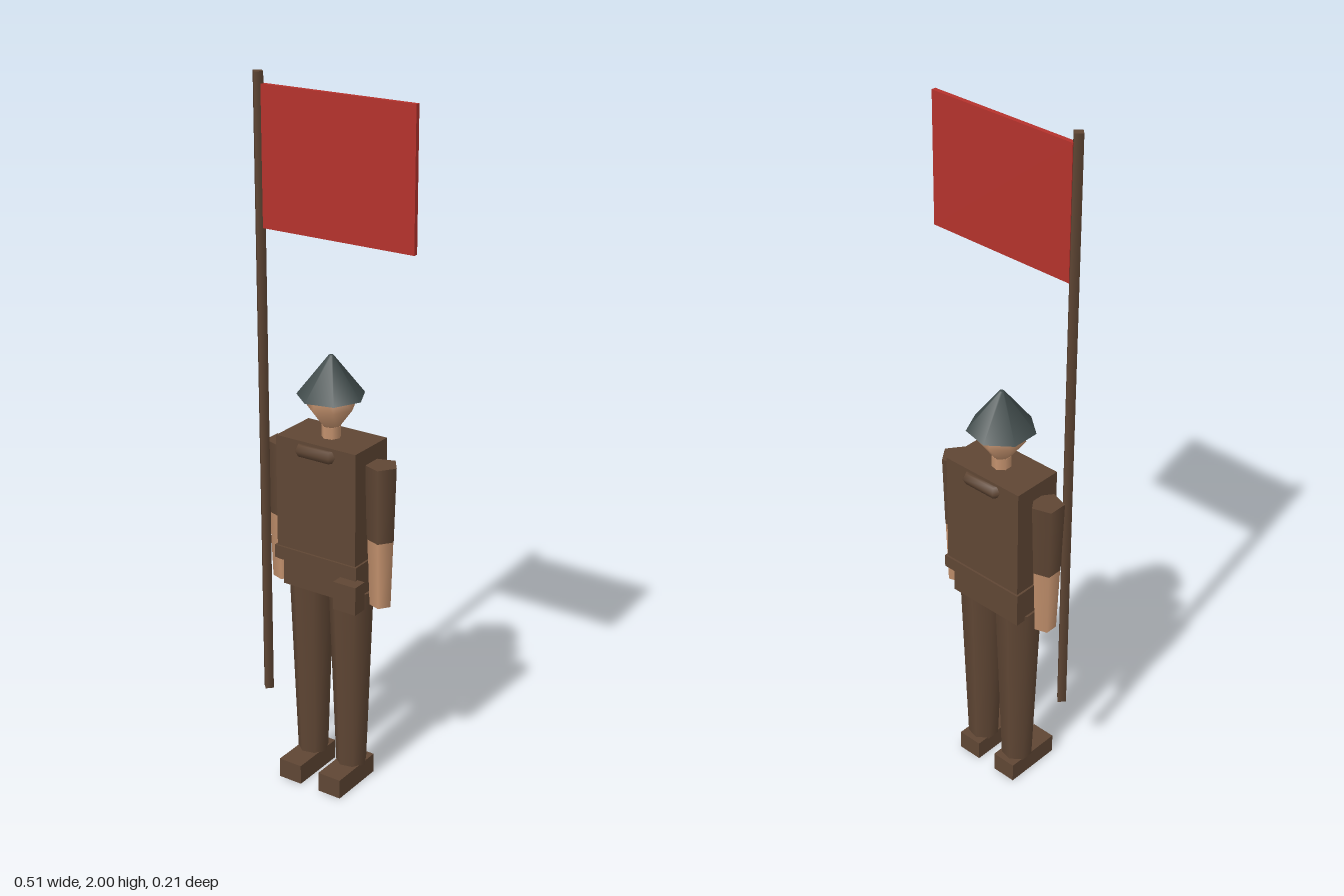
import * as THREE from 'three';

const material = (name, color) => {
  const m = new THREE.MeshStandardMaterial({ color });
  m.name = name;
  return m;
};

export function createModel() {
  const cloth = material('brown cloth', 0x5f4634);
  const skin = material('skin', 0xc3916d);
  const hatGrey = material('slate grey', 0x3f4a4a);
  const red = material('flag red', 0xb4322c);

  const model = new THREE.Group();
  model.name = 'flagBearer';

  // The figure stands left of centre so the flag balances it
  const figure = new THREE.Group();
  figure.name = 'figure';
  figure.position.set(-0.055, 0, -0.012);
  model.add(figure);

  const add = (parent, name, geometry, mat, x, y, z) => {
    const mesh = new THREE.Mesh(geometry, mat);
    mesh.name = name;
    mesh.position.set(x, y, z);
    parent.add(mesh);
    return mesh;
  };
  const box = (parent, name, mat, w, y0, y1, d, x = 0, z = 0) =>
    add(parent, name, new THREE.BoxGeometry(w, y1 - y0, d), mat, x, (y0 + y1) / 2, z);
  // Tapered prism with one corner pointing to +x
  const limb = (parent, name, mat, rTop, rBottom, y0, y1, sides, x = 0, z = 0) =>
    add(parent, name, new THREE.CylinderGeometry(rTop, rBottom, y1 - y0, sides, 1, false, Math.PI / 2),
      mat, x, (y0 + y1) / 2, z);

  // Trunk
  box(figure, 'torso', cloth, 0.256, 0.67, 1.035, 0.15);
  box(figure, 'belt', cloth, 0.268, 0.675, 0.712, 0.162);
  box(figure, 'hips', cloth, 0.235, 0.592, 0.68, 0.125);
  box(figure, 'pouch', cloth, 0.072, 0.58, 0.662, 0.045, 0.107, 0.074);

  // Ring collar showing through the front and back of the torso
  const collar = add(figure, 'collar', new THREE.TorusGeometry(0.088, 0.019, 6, 6), cloth, 0, 1.01, 0);
  collar.rotation.x = Math.PI / 2;

  // Legs, feet and arms
  for (const [side, s] of [['left', 1], ['right', -1]]) {
    limb(figure, side + 'Leg', cloth, 0.064, 0.044, 0.055, 0.605, 7, s * 0.066);
    box(figure, side + 'Foot', cloth, 0.073, 0, 0.058, 0.172, s * 0.067, 0.028);
    limb(figure, side + 'Sleeve', cloth, 0.046, 0.039, 0.775, 0.99, 5, s * 0.162);
    limb(figure, side + 'Forearm', skin, 0.038, 0.031, 0.58, 0.775, 5, s * 0.162);
  }

  // Neck, head and hat
  limb(figure, 'neck', skin, 0.027, 0.027, 1.02, 1.068, 7);
  const headProfile = [[0, 1.05], [0.02, 1.06], [0.067, 1.122], [0.05, 1.17], [0, 1.2]]
    .map(([r, y]) => new THREE.Vector2(r, y));
  const head = add(figure, 'head', new THREE.LatheGeometry(headProfile, 7), skin, 0, 0, 0);
  head.rotation.y = Math.PI / 2;
  limb(figure, 'hat', hatGrey, 0.006, 0.094, 1.151, 1.265, 7);

  // Flagpole with its banner
  limb(model, 'flagpole', cloth, 0.0165, 0.0165, 0.26, 2, 4, -0.217, 0.069);
  box(model, 'flag', red, 0.457, 1.602, 1.97, 0.013, 0.0235, 0.069);

  return model;
}
